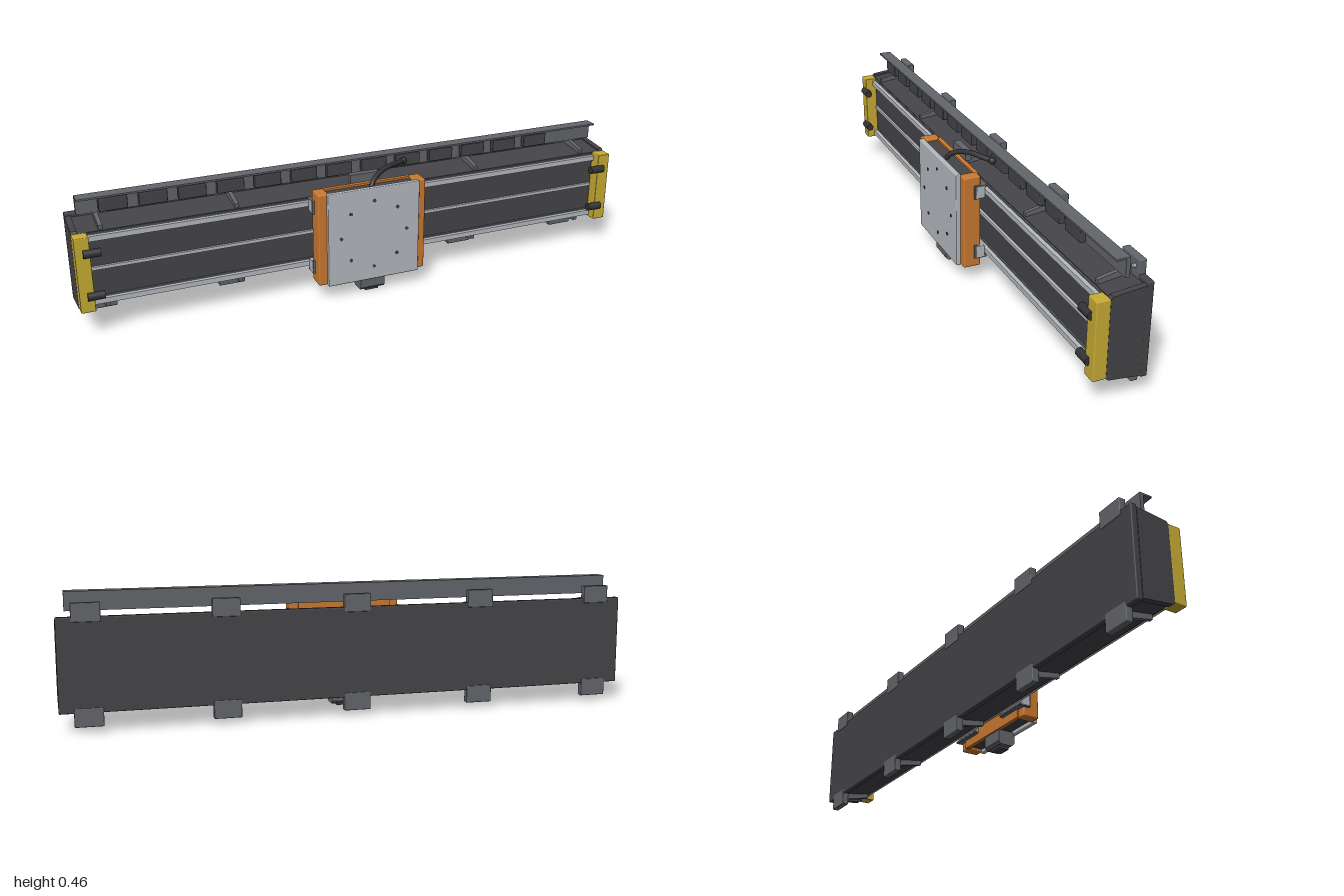
import * as THREE from 'three';
import { RoundedBoxGeometry } from 'three/addons/geometries/RoundedBoxGeometry.js';

const mat = (name, color) => Object.assign(new THREE.MeshStandardMaterial({ color }), { name });

export function createModel() {
  const root = new THREE.Group();
  root.name = 'linearAxis';
  const M = {
    dark: mat('darkGraphite', 0x454448),
    black: mat('blackRubber', 0x333336),
    grey: mat('steelGrey', 0x63666b),
    silver: mat('silver', 0xb6babf),
    orange: mat('orange', 0xcc7a31),
    yellow: mat('yellow', 0xc9ad35),
  };

  const add = (name, geo, m) => {
    const mesh = new THREE.Mesh(geo, m);
    mesh.name = name;
    root.add(mesh);
    return mesh;
  };
  // box given by its limits on each axis, with optional rounded edges
  const box = (name, m, [x0, x1], [y0, y1], [z0, z1], r = 0) => {
    const s = [x1 - x0, y1 - y0, z1 - z0];
    const g = r ? new RoundedBoxGeometry(...s, 2, r) : new THREE.BoxGeometry(...s);
    g.translate((x0 + x1) / 2, (y0 + y1) / 2, (z0 + z1) / 2);
    return add(name, g, m);
  };
  // profile in (z, y) extruded along x, centred at cx
  const alongX = (name, m, pts, width, cx = 0) => {
    const shape = new THREE.Shape(pts.map(p => new THREE.Vector2(...p)));
    const g = new THREE.ExtrudeGeometry(shape, { depth: width, bevelEnabled: false });
    g.translate(0, 0, -width / 2).rotateY(-Math.PI / 2).translate(cx, 0, 0);
    return add(name, g, m);
  };
  const cyl = (name, m, r, len, axis, x, y, z, seg = 20) => {
    const g = new THREE.CylinderGeometry(r, r, len, seg);
    if (axis === 'x') g.rotateZ(Math.PI / 2);
    if (axis === 'z') g.rotateX(Math.PI / 2);
    return add(name, g.translate(x, y, z), m);
  };

  // Beam, back plate and end caps
  alongX('beam', M.dark, [[-0.1, 0.078], [0.013, 0.096], [0.013, 0.352], [-0.1, 0.366]], 1.97);
  box('backPlate', M.dark, [-1, 1], [0.066, 0.38], [-0.121, -0.099], 0.004);
  for (const s of [-1, 1]) {
    alongX('endCap', M.dark, [[-0.1, 0.073], [0.009, 0.086], [0.016, 0.093],
      [0.016, 0.352], [0.009, 0.36], [-0.1, 0.371]], 0.02, s * 0.99);
  }

  // Guide rails and centre strip
  for (const y of [0.112, 0.335]) {
    box('guideRail', M.silver, [-0.95, 0.95], [y - 0.009, y + 0.009], [0.012, 0.032]);
    box('railFoot', M.grey, [-0.95, 0.95], [y - 0.014, y + 0.014], [0.012, 0.018]);
  }
  box('centreStrip', M.silver, [-0.95, 0.95], [0.22, 0.231], [0.012, 0.022]);

  // Mounting tabs, gussets and bolts
  for (const x of [-0.905, -0.452, 0, 0.452, 0.905]) {
    box('lowerTab', M.grey, [x - 0.047, x + 0.047], [0.02, 0.082], [-0.1225, -0.098], 0.003);
    box('upperTab', M.grey, [x - 0.047, x + 0.047], [0.363, 0.425], [-0.1225, -0.098], 0.003);
    alongX('upperGusset', M.grey, [[-0.1, 0.36], [0.008, 0.35], [0.008, 0.367], [-0.1, 0.389]], 0.014, x);
    alongX('lowerGusset', M.grey, [[-0.1, 0.056], [0.008, 0.078], [0.008, 0.098], [-0.1, 0.085]], 0.014, x);
    for (const dx of [-0.026, 0.026]) for (const y of [0.047, 0.4]) {
      cyl('tabBolt', M.silver, 0.006, 0.01, 'z', x + dx, y, -0.095, 12);
    }
  }

  // Yellow end stops with rubber bumpers
  for (const s of [-1, 1]) {
    const x = s < 0 ? [-1, -0.952] : [0.952, 1];
    box('endStop', M.yellow, x, [0.093, 0.354], [0.015, 0.06], 0.003);
    for (const y of [0.149, 0.299]) {
      cyl('bumper', M.black, 0.014, 0.056, 'x', s * 0.947, y, 0.06);
    }
  }

  // Cable tray with chain links
  box('trayWall', M.grey, [-0.97, 0.97], [0.392, 0.456], [-0.057, -0.044]);
  box('trayLip', M.grey, [-0.97, 0.97], [0.45, 0.456], [-0.046, -0.012]);
  for (let i = 0; i < 13; i++) {
    const x = -0.9 + i * 0.1305;
    box('chainLink', M.dark, [x, x + 0.094], [0.401, 0.446], [-0.038, -0.018], 0.003);
  }

  // Carriage runners, a grey cap around a silver core
  for (const s of [-1, 1]) for (const [y0, y1, out] of [[0.31, 0.36, 1], [0.087, 0.137, -1]]) {
    const x = s < 0 ? [-0.208, -0.08] : [0.08, 0.208];
    const lip = out > 0 ? [y1 - 0.008, y1] : [y0, y0 + 0.008];
    box('runnerCore', M.silver, x, [y0 + 0.004, y1 - 0.004], [0.034, 0.064]);
    box('runnerLip', M.grey, x, lip, [0.025, 0.07], 0.002);
    box('runnerFace', M.grey, x, [y0, y1], [0.06, 0.07], 0.002);
  }

  // Carriage housing
  for (const s of [-1, 1]) {
    const x = s < 0 ? [-0.2, -0.16] : [0.16, 0.2];
    box('housingSide', M.orange, x, [0.055, 0.392], [0.046, 0.107], 0.005);
  }
  box('housingBack', M.orange, [-0.17, 0.17], [0.058, 0.389], [0.04, 0.055]);
  box('housingCore', M.dark, [-0.162, 0.162], [0.065, 0.382], [0.054, 0.106]);
  box('frontPlate', M.silver, [-0.17, 0.17], [0.053, 0.395], [0.104, 0.122], 0.003);
  for (let i = 0; i < 8; i++) {
    const a = (i * Math.PI) / 4;
    cyl('plateScrew', M.dark, 0.006, 0.006, 'z', 0.123 * Math.cos(a), 0.225 + 0.123 * Math.sin(a), 0.121, 12);
  }

  // Drive unit under the carriage
  alongX('driveBody', M.grey, [[0.055, 0.008], [0.1, 0.008], [0.11, 0.018], [0.11, 0.06],
    [0.046, 0.06], [0.046, 0.018]], 0.09);
  box('driveCap', M.dark, [-0.026, 0.026], [0, 0.012], [0.058, 0.1], 0.003);

  // Chain bracket, cable and plug
  box('chainBracket', M.grey, [-0.053, 0.053], [0.384, 0.418], [0.013, 0.037]);
  const path = new THREE.CatmullRomCurve3([[0, 0.375, 0.092], [0.012, 0.4, 0.08], [0.05, 0.422, 0.055],
    [0.1, 0.43, 0.03], [0.14, 0.427, 0.008], [0.168, 0.424, -0.012]].map(p => new THREE.Vector3(...p)));
  add('cable', new THREE.TubeGeometry(path, 40, 0.009, 12), M.black);
  add('cablePlug', new THREE.SphereGeometry(0.013, 16, 12).translate(0.168, 0.424, -0.01), M.black);

  return root;
}
